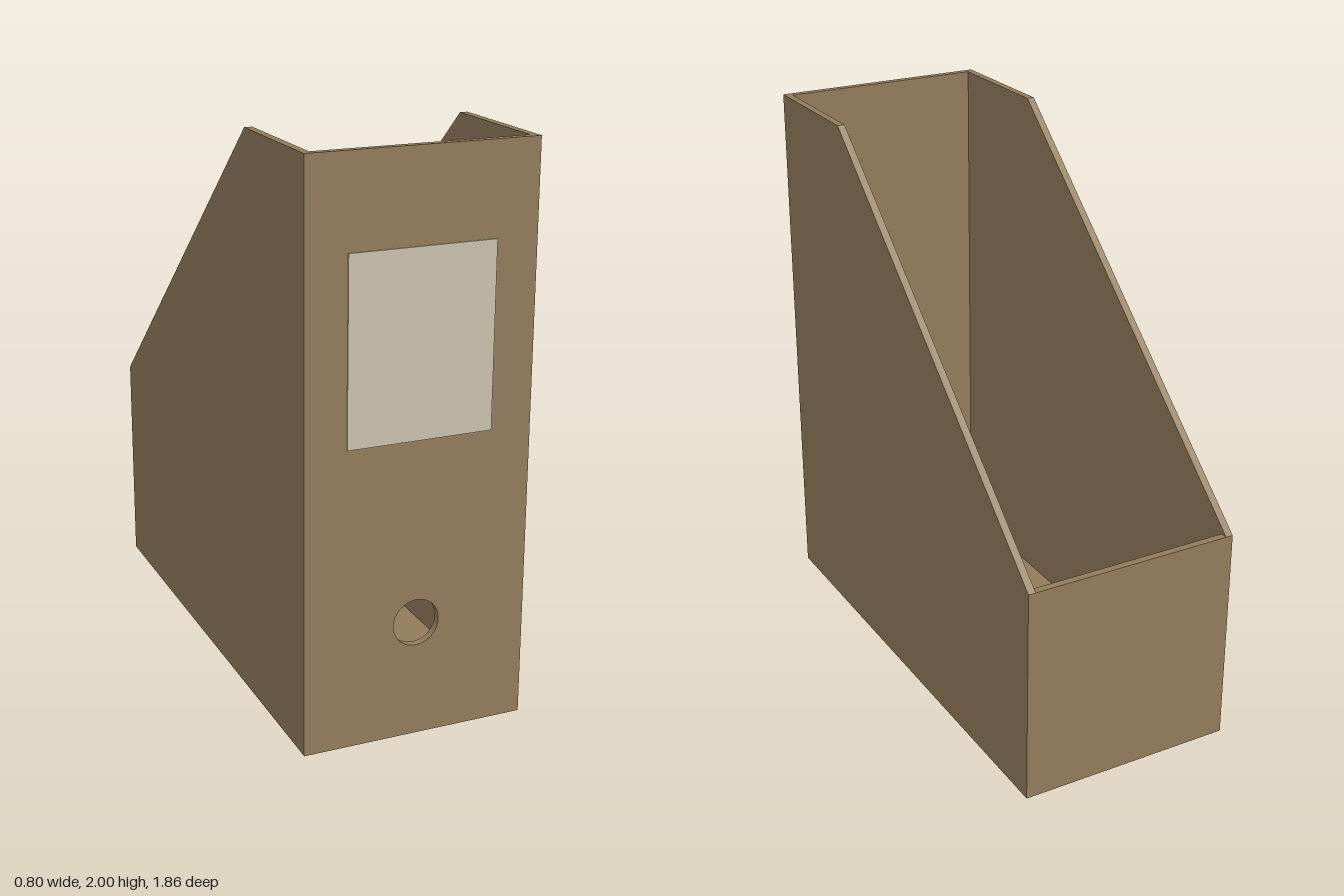
import * as THREE from 'three';

const W = 0.4, D = 0.93, T = 0.027; // half width, half depth, board thickness

export function createModel() {
  const group = new THREE.Group();
  const board = new THREE.MeshStandardMaterial({ color: 0x917b5b });
  board.name = 'kraft board';
  const paper = new THREE.MeshStandardMaterial({ color: 0xc8c0ac });
  paper.name = 'label paper';

  const add = (name, geometry, material, x = 0, y = 0, z = 0) => {
    const mesh = new THREE.Mesh(geometry, material);
    mesh.name = name;
    mesh.position.set(x, y, z);
    group.add(mesh);
  };
  const inner = 2 * (W - T);

  // Side panels, drawn in (z, y) with the sloping cut toward the back
  const side = new THREE.Shape([
    [-D, 0], [D, 0], [D, 2], [0.435, 2], [-D, 0.8],
  ].map(([z, y]) => new THREE.Vector2(z, y)));
  const sideGeometry = new THREE.ExtrudeGeometry(side, { depth: T, bevelEnabled: false });
  sideGeometry.rotateY(-Math.PI / 2);
  add('leftSide', sideGeometry, board, W);
  add('rightSide', sideGeometry, board, -W + T);

  // Tall front panel with a round finger hole
  const front = new THREE.Shape([
    [-inner / 2, 0], [inner / 2, 0], [inner / 2, 2], [-inner / 2, 2],
  ].map(([x, y]) => new THREE.Vector2(x, y)));
  const hole = new THREE.Path();
  hole.absarc(0, 0.41, 0.082, 0, Math.PI * 2, true);
  front.holes.push(hole);
  add('frontPanel', new THREE.ExtrudeGeometry(front, {
    depth: T, bevelEnabled: false, curveSegments: 32,
  }), board, 0, 0, D - T);

  // Low back panel and floor
  add('backPanel', new THREE.BoxGeometry(inner, 0.8, T), board, 0, 0.4, -D + T / 2);
  add('floor', new THREE.BoxGeometry(inner, T, 2 * (D - T)), board, 0, T / 2, 0);

  // Blank paper label
  add('label', new THREE.BoxGeometry(0.51, 0.635, 0.004), paper, 0, 1.368, D + 0.002);

  return group;
}
